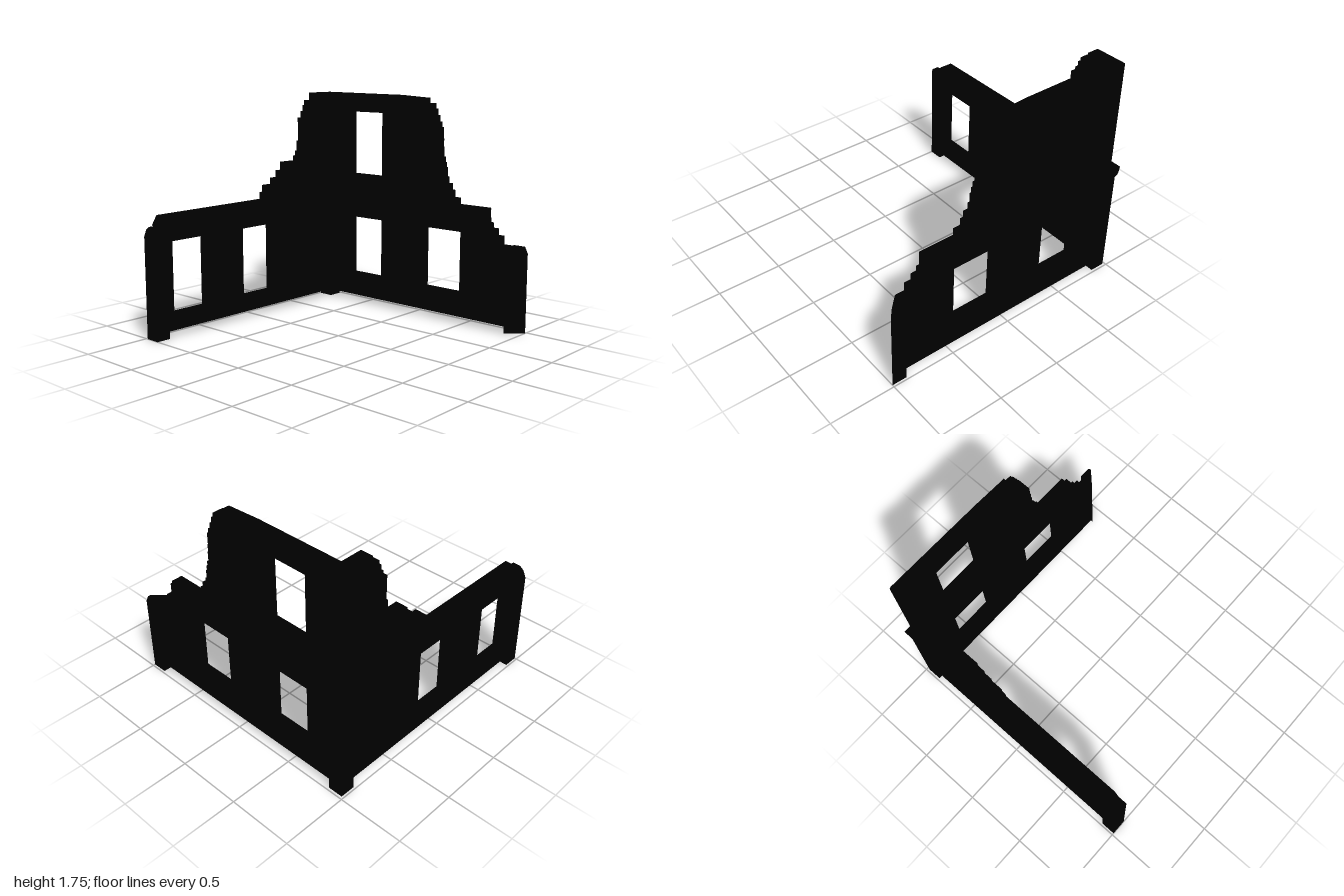
import * as THREE from 'three';
import { ConvexGeometry } from 'three/addons/geometries/ConvexGeometry.js';

const INNER = 0.867; // distance of both inner wall faces from the centre

export function createModel() {
  const group = new THREE.Group();
  group.name = 'ruinedCornerWalls';
  const material = new THREE.MeshStandardMaterial({ color: 0x000000, flatShading: true });

  function add(name, geometry) {
    const mesh = new THREE.Mesh(geometry, material);
    mesh.name = name;
    group.add(mesh);
  }

  // Slab with an outline [u, y]; u is x on the back wall and z on the side wall
  function slab(name, side, outline, outer, windows = []) {
    const back = side === 'back';
    // Mirrored outlines are reversed so that walls and window reveals face outwards
    const toPoints = (list) => {
      const points = list.map(([u, y]) => new THREE.Vector2(back ? -u : u, y));
      return back ? points.reverse() : points;
    };
    const shape = new THREE.Shape(toPoints(outline));
    for (const [u0, u1, y0, y1] of windows) {
      shape.holes.push(new THREE.Path(toPoints([[u0, y0], [u0, y1], [u1, y1], [u1, y0]])));
    }
    const g = new THREE.ExtrudeGeometry(shape, { depth: outer - INNER, bevelEnabled: false });
    g.translate(0, 0, INNER);
    g.rotateY(back ? Math.PI : -Math.PI / 2);
    add(name, g);
  }

  // Broken edge: each entry is [u, y] of a step, joined by a riser then a tread
  function stairs(start, steps) {
    const out = [start];
    let y = start[1];
    for (const [u, nextY] of steps) {
      out.push([u, y], [u, nextY]);
      y = nextY;
    }
    return out.slice(2);
  }

  // Back wall, ground floor with a crumbled right end
  slab('backLowerWall', 'back', [
    [-0.95, 0.055], [0.883, 0.055], [0.883, 0.66], [0.81, 0.66],
    ...stairs([0.81, 0.66], [[0.81, 0.725], [0.76, 0.775], [0.715, 0.815], [0.69, 0.85]]),
    [-0.95, 0.85],
  ], 0.96, [[-0.655, -0.305, 0.235, 0.725], [0.105, 0.475, 0.235, 0.725]]);

  // Back wall, upper floor with a stepped broken edge
  slab('backUpperWall', 'back', [
    [-0.95, 0.85], [0.69, 0.85], [0.69, 0.92], [0.415, 0.92],
    ...stairs([0.415, 0.92], [
      [0.415, 0.975], [0.36, 1.03], [0.335, 1.08], [0.3, 1.13], [0.285, 1.2],
      [0.275, 1.24], [0.265, 1.28], [0.25, 1.36], [0.245, 1.42], [0.24, 1.51],
      [0.225, 1.55], [0.205, 1.6], [0.185, 1.65], [0.165, 1.69], [0.105, 1.73],
    ]),
    [-0.17, 1.745], [-0.95, 1.75],
  ], 0.955, [[-0.655, -0.305, 1.08, 1.6]]);

  // Side wall, ground floor
  slab('sideLowerWall', 'side', [
    [-INNER, 0.055], [0.95, 0.055], [0.95, 0.8], [0.9, 0.845], [-INNER, 0.845],
  ], 0.96, [[0.5, 0.84, 0.175, 0.725], [-0.185, 0.15, 0.175, 0.725]]);

  // Side wall, remains of the upper floor
  slab('sideUpperWall', 'side', [
    [-0.95, 0.845], [-0.12, 0.845],
    ...stairs([-0.12, 0.845], [
      [-0.12, 0.975], [-0.15, 1.03], [-0.24, 1.08], [-0.3, 1.135], [-0.355, 1.2],
      [-0.505, 1.24], [-0.53, 1.28], [-0.55, 1.36], [-0.565, 1.55], [-0.6, 1.6],
      [-0.62, 1.65], [-0.64, 1.69], [-0.7, 1.75],
    ]),
    [-0.95, 1.75],
  ], 0.96);

  // Cornice between the floors, with a narrower moulding underneath
  slab('backCornice', 'back', [[-0.88, 0.84], [0.67, 0.84], [0.67, 0.92], [-0.88, 0.92]], 0.982);
  slab('backMoulding', 'back', [[-0.88, 0.79], [0.68, 0.79], [0.68, 0.84], [-0.88, 0.84]], 0.97);
  slab('sideCornice', 'side',
    [[-0.88, 0.84], [0.935, 0.84], [0.89, 0.912], [-0.88, 0.92]], 0.978);
  slab('sideMoulding', 'side', [[-0.88, 0.79], [0.9, 0.79], [0.9, 0.84], [-0.88, 0.84]], 0.97);

  // Corner pilaster and its flared cap
  const pilaster = new THREE.BoxGeometry(0.116, 0.85, 0.113);
  pilaster.translate(-INNER - 0.058, 0.425, -INNER - 0.0565);
  add('cornerPilaster', pilaster);
  const cap = [];
  for (const [y, w] of [[0.82, 0.98], [0.86, 0.995], [0.92, 1]]) {
    for (const x of [-w, -INNER]) for (const z of [-w, -INNER]) cap.push(new THREE.Vector3(x, y, z));
  }
  add('cornerCap', new ConvexGeometry(cap));

  // Front end pilaster of the side wall, worn round at its outer top edge
  const endShape = new THREE.Shape([
    [-0.985, 0], [-INNER, 0], [-INNER, 0.845], [-0.925, 0.845], [-0.96, 0.82], [-0.985, 0.765],
  ].map(([x, y]) => new THREE.Vector2(x, y)));
  const endPilaster = new THREE.ExtrudeGeometry(endShape, { depth: 0.113, bevelEnabled: false });
  endPilaster.translate(0, 0, 0.887);
  add('sideEndPilaster', endPilaster);

  // Mitred end pilaster of the back wall, chipped at the top of its tip
  const mitre = [];
  for (const [x, z, top] of [
    [0.883, -INNER, 0.66], [0.883, -0.983, 0.66],
    [0.975, -0.983, 0.66], [0.975, -0.959, 0.66], [1, -0.983, 0.61],
  ]) {
    mitre.push(new THREE.Vector3(x, 0, z), new THREE.Vector3(x, top, z));
  }
  add('backEndPilaster', new ConvexGeometry(mitre));

  return group;
}
